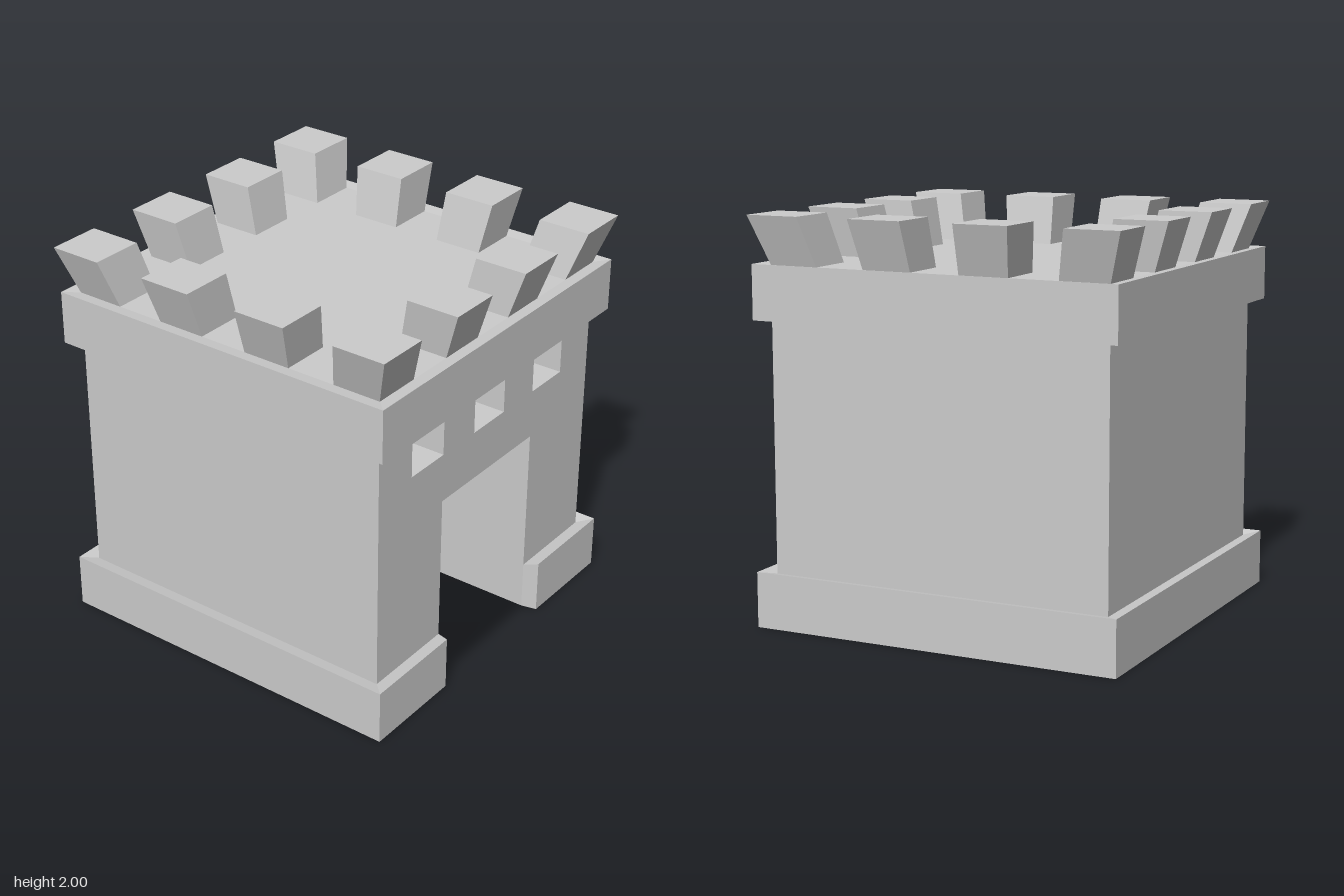
import * as THREE from 'three';

const material = new THREE.MeshStandardMaterial({ color: 0xcccccc, flatShading: true });
const HALF = 0.875, CELL = 0.25, FLOOR = 0.01, ROOF = 1.76;

function add(parent, name, geometry) {
  const mesh = new THREE.Mesh(geometry, material);
  mesh.name = name;
  parent.add(mesh);
  return mesh;
}

// Slice of the tower between two x positions, with optional door and window openings
function bodySlice(x0, x1, hasDoor, hasWindows) {
  const outline = [[-HALF, FLOOR]];
  if (hasDoor) outline.push([-0.375, FLOOR], [-0.375, 1.01], [0.375, 1.01], [0.375, FLOOR]);
  outline.push([HALF, FLOOR], [HALF, ROOF], [-HALF, ROOF]);
  const shape = new THREE.Shape(outline.map(([s, y]) => new THREE.Vector2(s, y)));
  if (hasWindows) {
    for (const s of [-0.5, 0, 0.5]) {
      const corners = [[-1, 1.26], [-1, 1.51], [1, 1.51], [1, 1.26]];
      shape.holes.push(new THREE.Path(corners.map(([d, y]) => new THREE.Vector2(s + d * CELL / 2, y))));
    }
  }
  const geometry = new THREE.ExtrudeGeometry(shape, { depth: x1 - x0, bevelEnabled: false });
  return geometry.rotateY(Math.PI / 2).translate(x0, 0, 0);
}

// Band swept around the tower; its outer edge is the inner path scaled outwards
function band(path, closed, scale, profile) {
  const positions = [];
  const point = ([x, z], [outer, y]) => {
    const k = outer ? scale : 1;
    return [x * k, y, z * k];
  };
  const quad = (a, b, c, d) => positions.push(...a, ...b, ...c, ...a, ...c, ...d);
  const count = closed ? path.length : path.length - 1;
  for (let i = 0; i < count; i++) {
    const a = path[i], b = path[(i + 1) % path.length];
    for (let j = 0; j < 3; j++) {
      const p = profile[j], q = profile[j + 1];
      quad(point(a, p), point(a, q), point(b, q), point(b, p));
    }
  }
  if (!closed) {
    const first = profile.map(p => point(path[0], p));
    quad(...first.reverse());
    quad(...profile.map(p => point(path[path.length - 1], p)));
  }
  const geometry = new THREE.BufferGeometry();
  geometry.setAttribute('position', new THREE.Float32BufferAttribute(positions, 3));
  geometry.computeVertexNormals();
  return geometry;
}

// Battlement block leaning outwards towards its top
function battlement(x, z) {
  const geometry = new THREE.BoxGeometry(CELL, 0.24, CELL).translate(x, 1.88, z);
  const p = geometry.attributes.position;
  for (let i = 0; i < p.count; i++) {
    if (p.getY(i) > 1.88) p.setXYZ(i, p.getX(i) * 1.09, p.getY(i), p.getZ(i) * 1.09);
  }
  geometry.computeVertexNormals();
  return geometry;
}

export function createModel() {
  const tower = new THREE.Group();
  tower.name = 'castleTower';

  // Tower body: pierced wall, passage behind the door, solid rear
  const body = new THREE.Group();
  body.name = 'body';
  tower.add(body);
  add(body, 'gateWall', bodySlice(0.625, HALF, true, true));
  add(body, 'passageWalls', bodySlice(0.125, 0.625, true, false));
  add(body, 'rearBody', bodySlice(-HALF, 0.125, false, false));

  // Underside below the passage
  add(body, 'passageUnderside',
    new THREE.PlaneGeometry(0.75, 0.75).rotateX(Math.PI / 2).translate(0.5, FLOOR, 0));

  // Footing, interrupted at the doorway
  const corners = [[HALF, HALF], [-HALF, HALF], [-HALF, -HALF], [HALF, -HALF]];
  const footingPath = [[HALF, 0.375], ...corners, [HALF, -0.375]];
  add(tower, 'footing', band(footingPath, false, 1.08, [[0, FLOOR], [1, 0], [1, 0.275], [0, 0.26]]));

  // Overhanging parapet band
  add(tower, 'parapet', band(corners, true, 1.075, [[0, 1.51], [1, 1.5], [1, 1.768], [0, ROOF]]));

  // Battlements around the roof edge
  const battlements = new THREE.Group();
  battlements.name = 'battlements';
  tower.add(battlements);
  const spots = [-0.75, -0.25, 0.25, 0.75];
  for (const x of spots) {
    for (const z of spots) {
      if (Math.max(Math.abs(x), Math.abs(z)) > 0.5) add(battlements, 'battlement', battlement(x, z));
    }
  }
  return tower;
}
